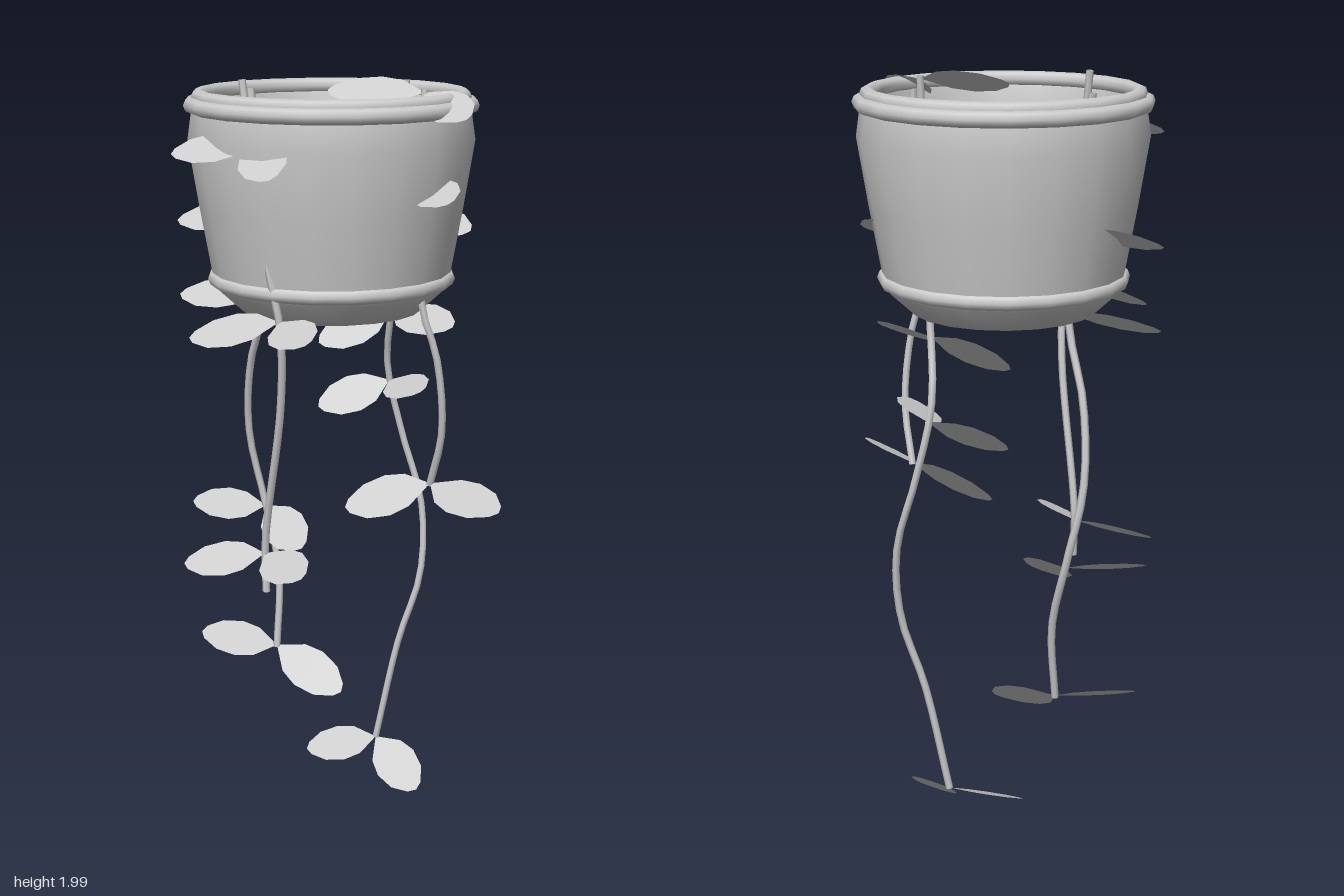
import * as THREE from 'three';

export function createModel() {
  const model = new THREE.Group();
  model.name = 'hangingPlant';
  const grey = new THREE.MeshStandardMaterial({ color: 0xcccccc, side: THREE.DoubleSide });
  grey.name = 'light grey';
  const SIDES = 20;

  function add(parent, geometry, name) {
    const mesh = new THREE.Mesh(geometry, grey);
    mesh.name = name;
    parent.add(mesh);
    return mesh;
  }

  // Pot, soil and rings share one axis
  const planter = new THREE.Group();
  planter.name = 'planter';
  planter.position.set(-0.03, 0, -0.025);
  model.add(planter);
  const lathe = (name, ...pts) =>
    add(planter, new THREE.LatheGeometry(pts.map(p => new THREE.Vector2(...p)), SIDES), name);

  lathe('potWall', [0, 1.4], [0.235, 1.4], [0.3, 1.46], [0.31, 1.5], [0.34, 1.67], [0.367, 1.84], [0.355, 1.92]);
  lathe('potInside', [0.335, 1.95], [0.322, 1.92], [0.315, 1.86]);
  lathe('soil', [0.315, 1.78], [0.315, 1.87], [0, 1.87]);

  function ring(name, radius, y) {
    const mesh = add(planter, new THREE.TorusGeometry(radius, 0.02, 8, SIDES), name);
    mesh.rotation.x = Math.PI / 2;
    mesh.position.y = y;
  }
  ring('rimRing', 0.356, 1.925);
  ring('rimLip', 0.337, 1.944);
  ring('baseRing', 0.302, 1.485);

  // Leaf: flat pointed blade, unit long along x and unit wide along y
  const edge = [[0.27, 0.4], [0.5, 0.5], [0.76, 0.42], [0.95, 0.18]];
  const blade = new THREE.Shape([
    [0, 0], ...edge.map(([x, y]) => [x, -y]), [1, 0], ...edge.reverse(),
  ].map(p => new THREE.Vector2(...p)));

  // Every leaf leans to the front: the shorter its sideways reach, the further forward it
  // points. Drooping leaves face the front more than level ones.
  function leaf(parent, base, reach, lift, extraForward = 0) {
    const along = new THREE.Vector3(reach, lift, 0.26 - 0.9 * Math.abs(reach) + extraForward);
    const length = along.length();
    along.normalize();
    const facing = lift < -0.06 ? new THREE.Vector3(0.1, 0.7, 0.68) : new THREE.Vector3(0, 0.86, 0.5);
    const across = facing.cross(along).normalize();
    const normal = along.clone().cross(across);
    const geometry = new THREE.ShapeGeometry(blade);
    geometry.scale(length, 0.125, 1);
    geometry.applyMatrix4(new THREE.Matrix4().makeBasis(along, across, normal).setPosition(base));
    add(parent, geometry, 'leaf');
  }

  // Vine: a thin stem from the soil, down through the pot, with pairs of leaves.
  // Pair: height, reach and lift of one leaf, reach and lift of the other, extra forward
  function vine(name, path, pairs) {
    const group = new THREE.Group();
    group.name = name;
    model.add(group);
    const curve = new THREE.CatmullRomCurve3(path.map(p => new THREE.Vector3(...p)));
    add(group, new THREE.TubeGeometry(curve, path.length * 4, 0.01, 6), 'stem');
    const stations = curve.getPoints(300);
    for (const [height, reachA, liftA, reachB, liftB, extraB] of pairs) {
      const base = stations.find(p => p.y <= height);
      leaf(group, base, reachA, liftA);
      leaf(group, base, reachB, liftB, extraB);
    }
  }

  vine('frontVine',
    [[-0.11, 1.98, 0.25], [-0.05, 1.56, 0.283], [-0.02, 1.4, 0.278], [-0.035, 1.2, 0.25],
      [-0.115, 0.8, 0.195], [-0.11, 0.67, 0.2]],
    [[1.86, -0.18, -0.03, 0.12, -0.07],
      [1.42, -0.225, -0.05, 0.14, -0.02],
      [0.775, -0.2, -0.035, 0.165, -0.01]]);

  vine('leftVine',
    [[0.23, 1.97, -0.02], [0.245, 1.44, 0.015], [0.28, 1.3, -0.005], [0.285, 1.1, -0.035],
      [0.24, 0.94, -0.065]],
    [[1.967, -0.25, 0, 0.16, -0.05],
      [1.75, -0.2, 0, 0.13, -0.035],
      [0.945, -0.22, -0.08, 0.245, -0.01, 0.09]]);

  vine('rightVine',
    [[-0.325, 1.97, -0.09], [-0.24, 1.42, -0.05], [-0.31, 1.2, -0.085], [-0.335, 1, -0.12],
      [-0.3, 0.8, -0.14], [-0.245, 0.6, -0.12], [-0.235, 0.385, -0.085]],
    [[1.64, -0.215, -0.03, 0.15, 0],
      [1.42, -0.24, -0.02, 0.19, -0.035],
      [0.785, -0.18, 0.015, 0.17, -0.07],
      [0.39, -0.2, 0.035, 0.23, -0.08]]);

  vine('backVine',
    [[0.07, 1.97, -0.265], [0.05, 1.4, -0.235], [0.015, 1.2, -0.28], [0.05, 1, -0.305],
      [0.11, 0.8, -0.31], [0.12, 0.6, -0.285], [0.07, 0.4, -0.25], [0.015, 0.1, -0.22]],
    [[1.64, -0.2, -0.03, 0.23, -0.03],
      [1.365, -0.165, -0.085, 0.21, -0.015],
      [1.155, -0.165, -0.07, 0.15, 0.01],
      [0.105, -0.17, -0.03, 0.175, -0.085]]);

  return model;
}
